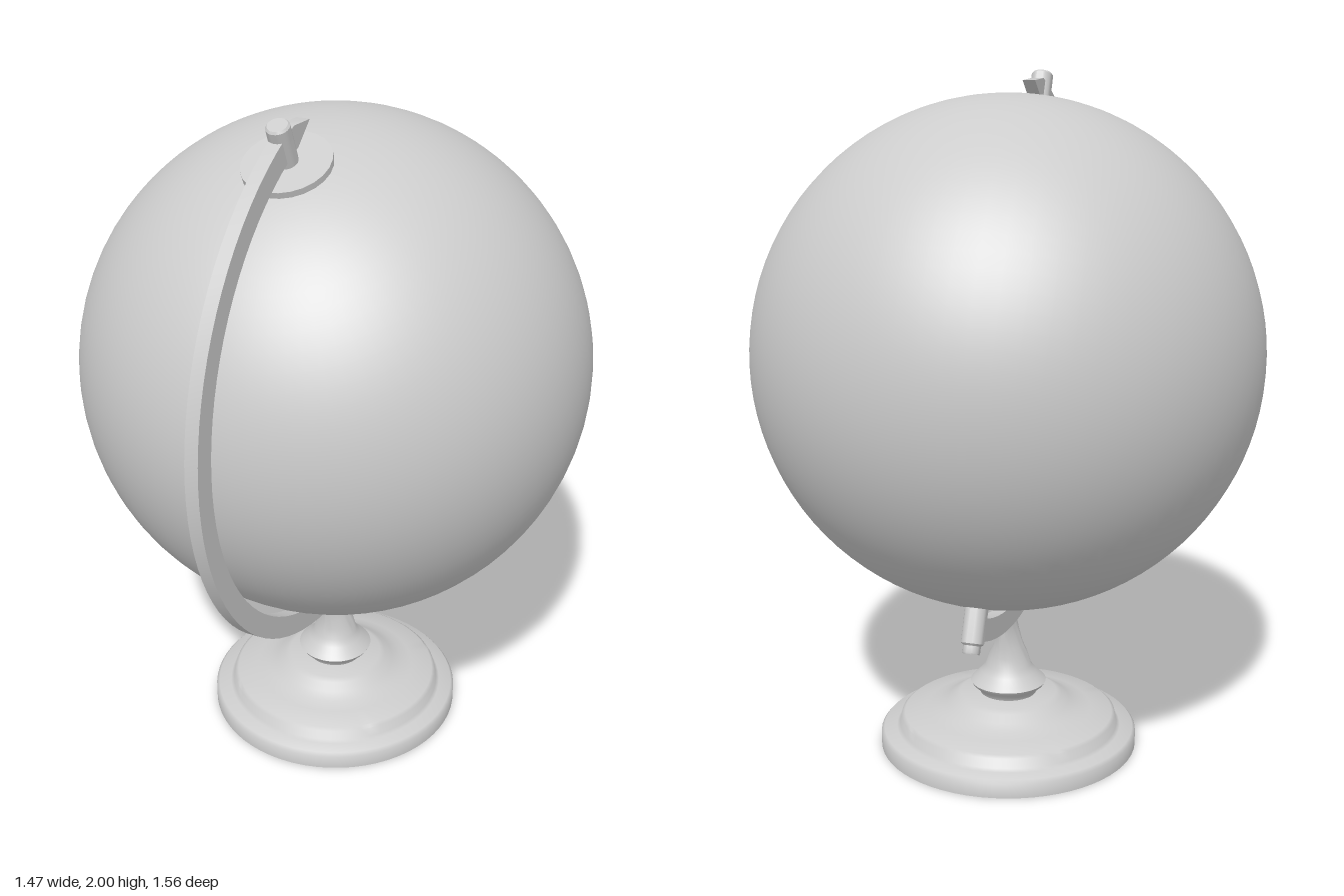
import * as THREE from 'three';
import { toCreasedNormals } from 'three/addons/utils/BufferGeometryUtils.js';

const CENTER_Y = 1.2, CENTER_Z = -0.043, TILT = THREE.MathUtils.degToRad(23.4);

export function createModel() {
  const model = new THREE.Group();
  model.name = 'globe';
  const grey = new THREE.MeshStandardMaterial({ color: 0xcccccc });
  grey.name = 'plain grey';

  const add = (parent, name, geometry, y = 0, z = 0) => {
    const mesh = new THREE.Mesh(geometry, grey);
    mesh.name = name;
    mesh.position.set(0, y, z);
    parent.add(mesh);
    return mesh;
  };
  const lathe = (points, sides) =>
    new THREE.LatheGeometry(points.map(([r, y]) => new THREE.Vector2(r, y)), sides);

  // Ball and pivots share the tilted axis
  const axis = new THREE.Group();
  axis.name = 'tiltedAxis';
  axis.position.set(0, CENTER_Y, CENTER_Z);
  axis.rotation.x = TILT;
  model.add(axis);
  add(axis, 'ball', new THREE.SphereGeometry(0.735, 72, 48));
  add(axis, 'poleDisc', new THREE.CylinderGeometry(0.12, 0.12, 0.022, 24), 0.732);
  add(axis, 'topPin', toCreasedNormals(lathe(
    [[0, 0.73], [0.032, 0.73], [0.032, 0.852], [0.027, 0.858], [0, 0.858]], 24), 0.6));
  add(axis, 'bottomPin', toCreasedNormals(lathe(
    [[0, -0.862], [0.023, -0.862], [0.025, -0.858], [0.025, -0.838], [0.033, -0.832],
      [0.033, -0.73], [0, -0.73]], 24), 0.6));

  // Curved arm, drawn in the side plane with a pointed upper end
  const polar = (r, deg) => {
    const a = THREE.MathUtils.degToRad(deg);
    return new THREE.Vector2(r * Math.sin(a), r * Math.cos(a));
  };
  const outline = [polar(0.793, 14.5)];
  const steps = 48, start = 20.3, end = 203.4;
  for (let i = 0; i <= steps; i++) outline.push(polar(0.825, start + (end - start) * i / steps));
  for (let i = steps; i >= 0; i--) outline.push(polar(0.76, start + (end - start) * i / steps));
  const armGeometry = new THREE.ExtrudeGeometry(new THREE.Shape(outline),
    { depth: 0.038, bevelEnabled: false });
  armGeometry.translate(0, 0, -0.019);
  armGeometry.rotateY(-Math.PI / 2);
  add(model, 'arm', toCreasedNormals(armGeometry, 0.5), CENTER_Y, CENTER_Z);

  // Stepped round foot
  add(model, 'base', toCreasedNormals(lathe([
    [0, 0], [0.387, 0], [0.387, 0.042], [0.378, 0.052], [0.34, 0.055], [0.33, 0.062],
    [0.325, 0.09], [0.315, 0.097], [0.25, 0.107], [0.215, 0.118], [0.185, 0.132],
    [0.162, 0.15], [0.145, 0.158], [0, 0.16],
  ], 64), 0.9), 0, CENTER_Z);

  // Stem: round below, pinched sideways where it meets the arm
  const stemGeometry = lathe([
    [0, 0.158], [0.085, 0.158], [0.09, 0.17], [0.108, 0.185], [0.114, 0.195],
    [0.103, 0.206], [0.083, 0.226], [0.069, 0.245], [0.062, 0.28], [0.058, 0.31],
    [0.06, 0.345], [0.063, 0.375], [0.063, 0.388], [0, 0.388],
  ], 40);
  const position = stemGeometry.attributes.position;
  for (let i = 0; i < position.count; i++) {
    const t = THREE.MathUtils.clamp((position.getY(i) - 0.27) / 0.11, 0, 1);
    position.setX(i, position.getX(i) * THREE.MathUtils.lerp(1, 0.26, t));
  }
  add(model, 'stem', toCreasedNormals(stemGeometry, 0.9), 0, CENTER_Z);

  return model;
}
